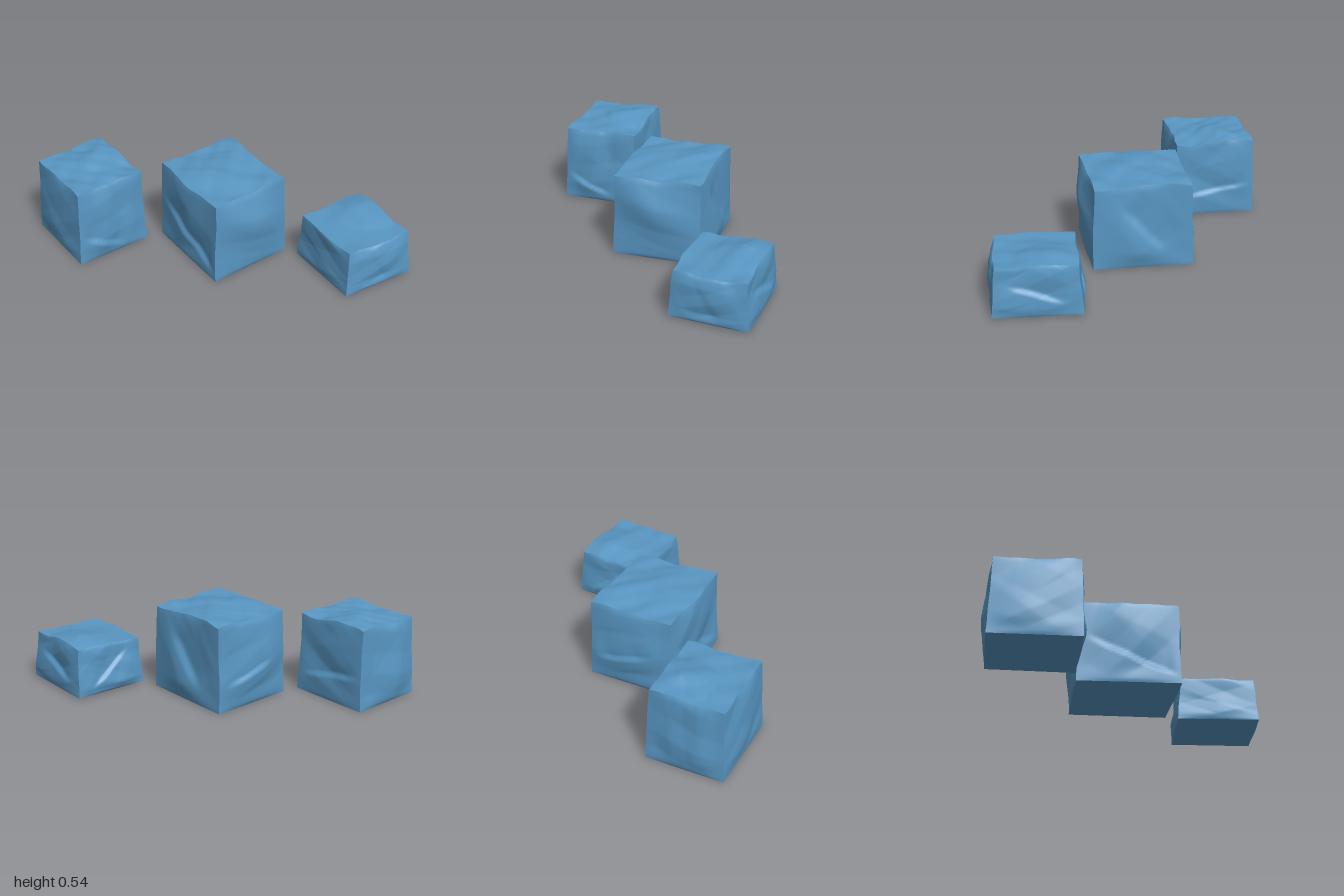
import * as THREE from 'three';

const SEG = 36;
const { lerp, smoothstep, clamp } = THREE.MathUtils;

// Triangle wave in 0..1: gives planar, chiselled facets
const tri = (x) => Math.abs(2 * (x - Math.floor(x + 0.5)));

function seeded(seed) {
  let s = seed;
  return () => (s = (s * 16807) % 2147483647) / 2147483647;
}

// Sum of triangle waves along random directions, about -1..1
function facetNoise(seed) {
  const rnd = seeded(seed);
  for (let i = 0; i < 5; i++) rnd();
  const waves = [1.0, 1.4, 1.9, 2.7].map((f) => {
    const dir = new THREE.Vector3(rnd() - 0.5, rnd() - 0.5, rnd() - 0.5).normalize();
    return { dir: dir.multiplyScalar(f), phase: rnd(), amp: 1 / f };
  });
  const total = waves.reduce((a, w) => a + w.amp, 0);
  return (u, t, v) => waves.reduce((sum, w) =>
    sum + w.amp * (2 * tri(w.dir.x * u + w.dir.y * t + w.dir.z * v + w.phase) - 1), 0) / total;
}

// Slanted ledge cut along a line on one side face: steep above, shallow below
function ledge(a, t, [a0, t0, a1, t1]) {
  const dx = a1 - a0, dy = t1 - t0, len = Math.hypot(dx, dy);
  const along = ((a - a0) * dx + (t - t0) * dy) / (len * len);
  const d = ((a - a0) * -dy + (t - t0) * dx) / len * Math.sign(dx);
  const ends = smoothstep(along, -0.1, 0.3) * (1 - smoothstep(along, 0.7, 1.1));
  return ends * Math.max(0, 1 - (d > 0 ? d / 0.35 : -d / 0.05));
}

// corners (x, z): back-left, back-right, front-right, front-left in plan
function makeBlock(name, material, o) {
  const geo = new THREE.BoxGeometry(1, 1, 1, SEG, SEG, SEG);
  const pos = geo.attributes.position, nor = geo.attributes.normal;
  const nx = facetNoise(o.seed), nz = facetNoise(o.seed + 977), ny = facetNoise(o.seed + 3571);
  const [A, B, C, D] = o.corners;

  for (let i = 0; i < pos.count; i++) {
    const u = pos.getX(i) + 0.5, t = pos.getY(i) + 0.5, v = pos.getZ(i) + 0.5;
    const su = 2 * u - 1, sv = 2 * v - 1;
    const fade = smoothstep(t, 0, 0.25);

    // sides: taper, a swelling at mid-face and chiselled facets, calmer at the corners
    const side = (along, bulge, n) => {
      const inner = Math.sin(Math.PI * along);
      const swell = bulge * inner * Math.sqrt(Math.sin(Math.PI * t));
      return swell - o.taper * t + fade * (0.012 + 0.035 * inner) * n;
    };
    let pu = u + su * side(v, 0.05, nx(u, t, v));
    let pv = v + sv * side(u, 0.03, nz(u, t, v));

    // ledges, fading out at the face borders
    const onX = Math.abs(nor.getX(i)) > 0.5, onZ = Math.abs(nor.getZ(i)) > 0.5;
    if (onX || onZ) {
      const a = onX ? v : u;
      const border = clamp(Math.min(a, 1 - a, t, 1 - t) / 0.12, 0, 1);
      const key = onX ? (su > 0 ? 'right' : 'left') : (sv > 0 ? 'front' : 'back');
      const cut = o.ledges[key] ? 0.035 * border * ledge(a, t, o.ledges[key]) : 0;
      if (onX) pu -= su * cut; else pv -= sv * cut;
    }

    // top: level rim with low humps and shallow facets
    const hump = o.peaks.reduce((h, [x, z, height, w]) =>
      h + height * Math.max(0, 1 - Math.hypot(u - x, v - z) / w), 0);
    const top = o.height + hump + 0.014 * ny(u * 1.8, 0, v * 1.8);
    const y = o.base + (top - o.base) * lerp(t, t * t, 0.15);

    pos.setXYZ(i,
      lerp(lerp(A[0], B[0], pu), lerp(D[0], C[0], pu), pv), y,
      lerp(lerp(A[1], B[1], pu), lerp(D[1], C[1], pu), pv));
  }
  // box faces share no vertices, so block edges stay sharp
  geo.computeVertexNormals();
  const mesh = new THREE.Mesh(geo, material);
  mesh.name = name;
  return mesh;
}

export function createModel() {
  const model = new THREE.Group();
  model.name = 'stoneBlocks';
  const stone = new THREE.MeshStandardMaterial({ color: 0x5896c2 });
  stone.name = 'blueStone';

  model.add(
    makeBlock('middleBlock', stone, {
      seed: 4211, base: 0, height: 0.515, taper: 0.02,
      corners: [[-0.29, -0.385], [0.3, -0.26], [0.225, 0.28], [-0.38, 0.14]],
      peaks: [[0.35, 0.15, 0.03, 0.4], [0.5, 0.6, 0.025, 0.45]],
      ledges: { front: [0.1, 0.62, 1, 0.12], left: [0.1, 0.35, 0.75, 0.55], back: [0.3, 0.25, 0.7, 0.8] },
    }),
    makeBlock('leftBlock', stone, {
      seed: 9127, base: 0, height: 0.478, taper: 0.035,
      corners: [[-0.92, 0.14], [-0.41, 0.24], [-0.485, 0.72], [-1.0, 0.61]],
      peaks: [[0.3, 0.25, 0.04, 0.45], [0.55, 0.5, 0.01, 0.4]],
      ledges: { right: [0.35, 0.12, 0.95, 0.42], back: [0.05, 0.45, 0.9, 0.32] },
    }),
    makeBlock('rightBlock', stone, {
      seed: 6653, base: 0.01, height: 0.293, taper: 0.045,
      corners: [[0.5, -0.725], [1.0, -0.6], [0.885, -0.14], [0.39, -0.27]],
      peaks: [[0.3, 0.2, 0.04, 0.5], [0.6, 0.45, 0.012, 0.4]],
      ledges: { left: [0.2, 0.2, 0.75, 0.85], back: [0.2, 0.3, 0.8, 0.7] },
    }),
  );
  return model;
}
